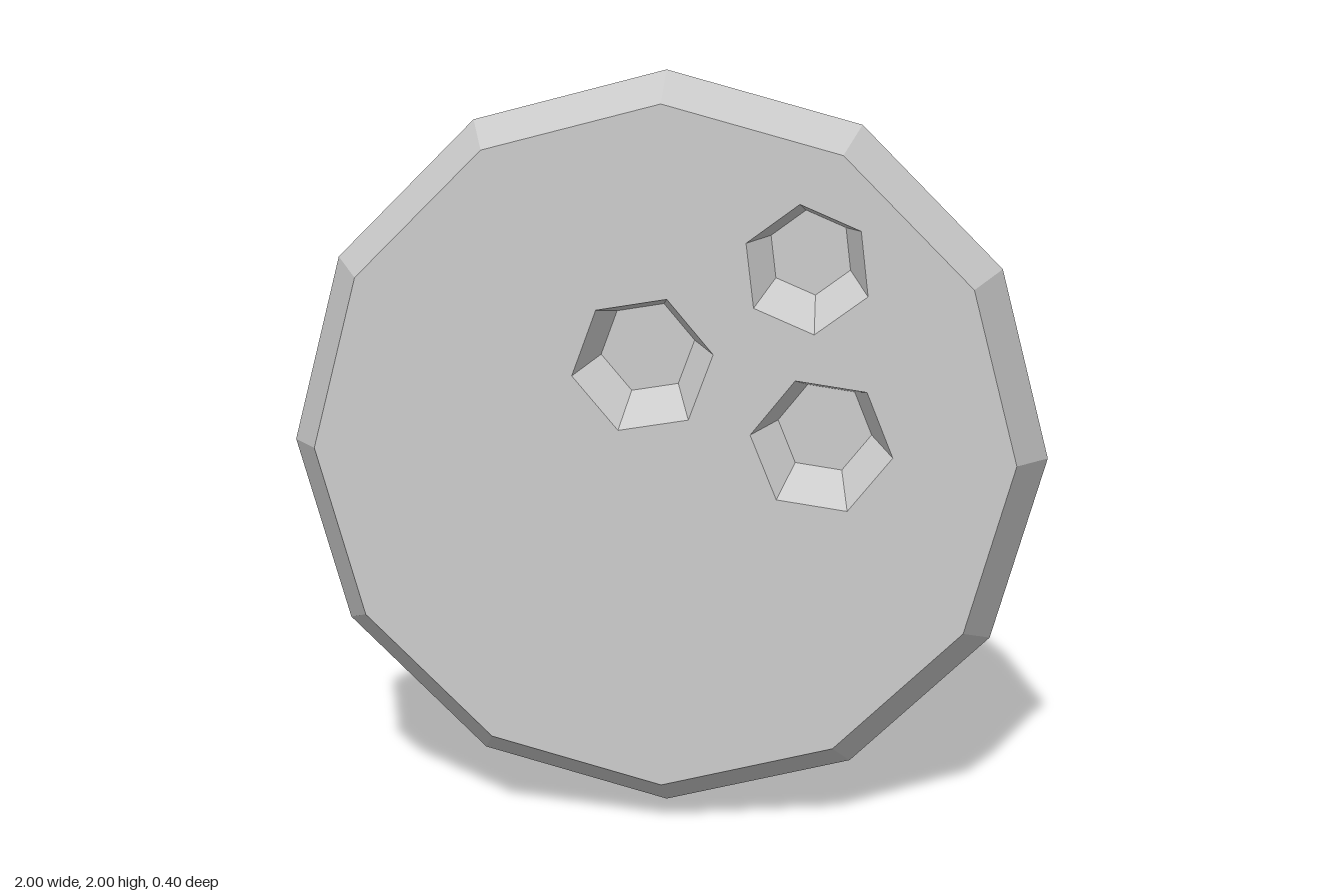
import * as THREE from 'three';

const material = new THREE.MeshStandardMaterial({ color: 0xcccccc, flatShading: true });
const HALF = 0.2;        // half thickness of the disc
const FLOOR = 0.11;      // distance of the pit floors from the middle plane

// counter-clockwise regular polygon
function ring(cx, cy, r, sides, degrees = 0) {
  return Array.from({ length: sides }, (_, i) => {
    const a = (i / sides) * Math.PI * 2 + THREE.MathUtils.degToRad(degrees);
    return new THREE.Vector2(cx + r * Math.cos(a), cy + r * Math.sin(a));
  });
}

// band of flat quads joining ring a at height za to ring b at height zb
function band(a, za, b, zb) {
  const pos = [];
  a.forEach((p, i) => {
    const j = (i + 1) % a.length;
    const A = [p.x, p.y, za], B = [a[j].x, a[j].y, za];
    const C = [b[j].x, b[j].y, zb], D = [b[i].x, b[i].y, zb];
    pos.push(...A, ...B, ...C, ...A, ...C, ...D);
  });
  const g = new THREE.BufferGeometry();
  g.setAttribute('position', new THREE.Float32BufferAttribute(pos, 3));
  g.computeVertexNormals();
  return g;
}

// flat plate facing +z or -z, with optional holes
function plate(outline, holes, z) {
  const shape = new THREE.Shape(outline);
  shape.holes = holes.map((h) => new THREE.Path(h));
  const g = new THREE.ShapeGeometry(shape);
  if (z < 0) g.index.array.reverse();
  g.translate(0, 0, z);
  g.computeVertexNormals();
  return g;
}

export function createModel() {
  const group = new THREE.Group();
  const add = (name, geometry) => {
    const mesh = new THREE.Mesh(geometry, material);
    mesh.name = name;
    group.add(mesh);
  };

  // widest ring in the middle, smaller raised rings on the faces
  const middle = ring(0, 1, 1, 12);
  const edge = ring(0.005, 1.032, 0.907, 12);
  add('frontRim', band(middle, 0, edge, HALF));
  add('backRim', band(edge, -HALF, middle, 0));

  // hexagonal pits: centre x, centre y, mouth radius, floor radius, turn
  const pits = [
    [-0.043, 1.273, 0.184, 0.123, 10],
    [0.373, 1.528, 0.167, 0.11, 37],
    [0.416, 1.071, 0.184, 0.122, -8],
  ].map(([x, y, r, floorR, turn]) => ({
    mouth: ring(x, y, r, 6, turn),
    floor: ring(x + 0.005, y + 0.027, floorR, 6, turn),
  }));

  // the same pits are sunk into both faces
  const mouths = pits.map((p) => p.mouth);
  add('frontFace', plate(edge, mouths, HALF));
  add('backFace', plate(edge, mouths, -HALF));
  pits.forEach(({ mouth, floor }, i) => {
    add(`frontPitWall${i + 1}`, band(mouth, HALF, floor, FLOOR));
    add(`frontPitFloor${i + 1}`, plate(floor, [], FLOOR));
    add(`backPitWall${i + 1}`, band(floor, -FLOOR, mouth, -HALF));
    add(`backPitFloor${i + 1}`, plate(floor, [], -FLOOR));
  });
  return group;
}
